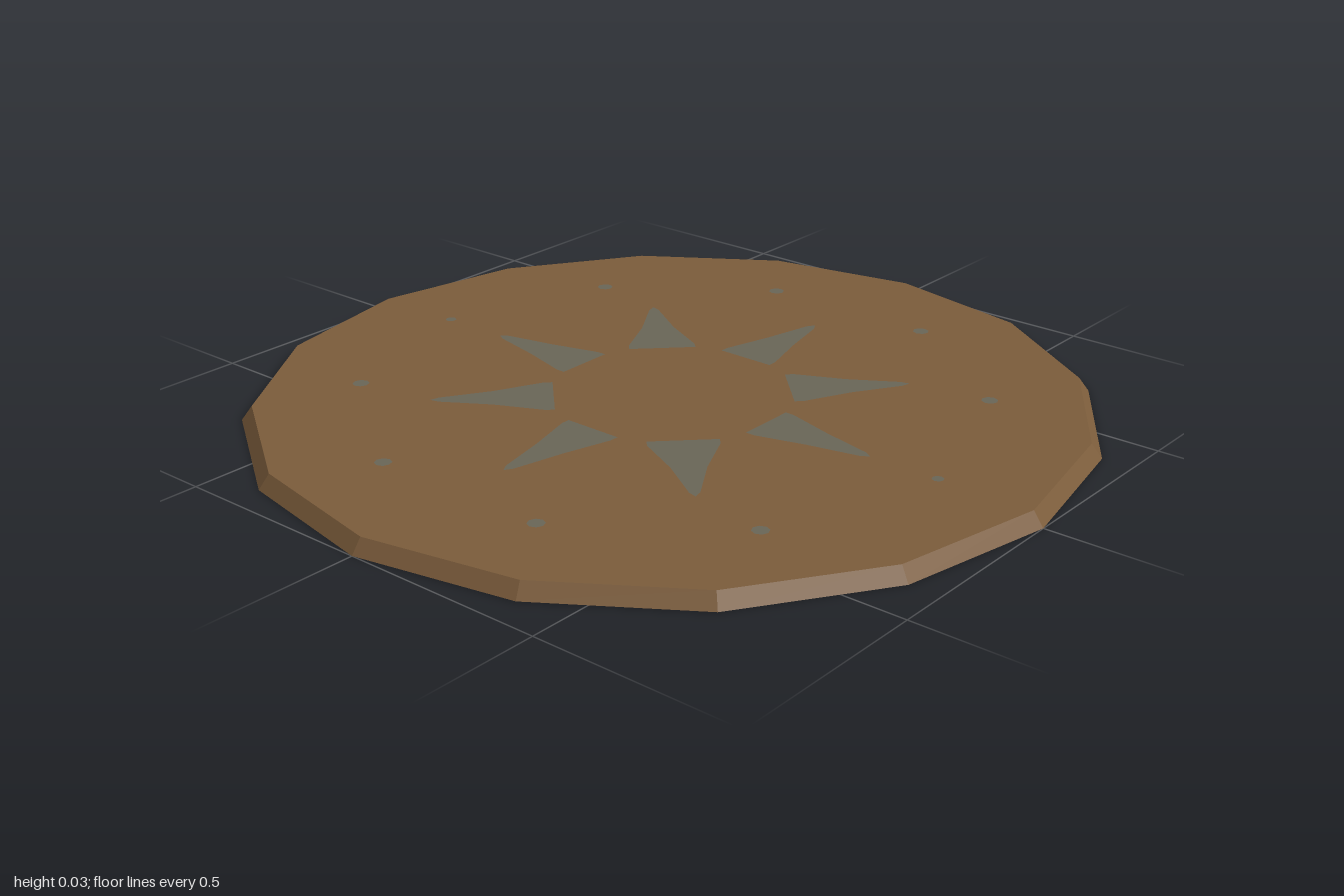
import * as THREE from 'three';

const SIDES = 16, HEIGHT = 0.034, TOP_RADIUS = 0.975;

// Regular polygon points around a centre
function ring(radius, count, cx = 0, cy = 0) {
  return Array.from({ length: count }, (_, i) => {
    const a = (i / count) * Math.PI * 2;
    return new THREE.Vector2(cx + radius * Math.cos(a), cy + radius * Math.sin(a));
  });
}

// Tapered ray pointing outwards at the given angle
function rayPoints(angle, halfWidth) {
  const half = [[0.278, -halfWidth], [0.3, -halfWidth], [0.42, -0.04], [0.545, -0.012], [0.565, 0]];
  const mirrored = half.slice(0, -1).reverse().map(([r, w]) => [r, -w]);
  return [...half, ...mirrored].map(([r, w]) =>
    new THREE.Vector2(r, w).rotateAround(new THREE.Vector2(), angle));
}

export function createModel() {
  const model = new THREE.Group();
  model.name = 'roundPlatform';

  const brown = new THREE.MeshStandardMaterial({ color: 0x7b5c3b, side: THREE.DoubleSide });
  brown.name = 'brown';
  const grey = new THREE.MeshStandardMaterial({ color: 0x696556, side: THREE.DoubleSide });
  grey.name = 'greyInlay';

  const add = (geometry, material, name) => {
    const mesh = new THREE.Mesh(geometry, material);
    mesh.name = name;
    model.add(mesh);
    return mesh;
  };
  const flat = (shapes) =>
    new THREE.ShapeGeometry(shapes).rotateX(-Math.PI / 2).translate(0, HEIGHT, 0);

  // Sloping faceted rim, open underneath
  const rim = new THREE.CylinderGeometry(TOP_RADIUS, 1, HEIGHT, SIDES, 1, true)
    .translate(0, HEIGHT / 2, 0).toNonIndexed();
  rim.computeVertexNormals();
  add(rim, brown, 'rim');

  // Inlay outlines: eight rays and ten small dots
  const rays = [], dots = [];
  for (let i = 0; i < 8; i++) rays.push(rayPoints((i * Math.PI) / 4, i % 2 ? 0.082 : 0.074));
  for (let i = 0; i < 10; i++) {
    const a = ((i + 0.5) * Math.PI) / 5;
    const small = i % 5 === 2;
    dots.push(ring(small ? 0.014 : 0.02, 8, 0.74 * Math.cos(a), 0.74 * Math.sin(a)));
  }

  // Top sheet with openings that the inlays fill exactly
  const top = new THREE.Shape(ring(TOP_RADIUS, SIDES));
  top.holes = [...rays, ...dots].map((p) => new THREE.Path(p));
  add(flat(top), brown, 'top');

  add(flat(rays.map((p) => new THREE.Shape(p))), grey, 'rayInlays');
  add(flat(dots.map((p) => new THREE.Shape(p))), grey, 'dotInlays');

  return model;
}
